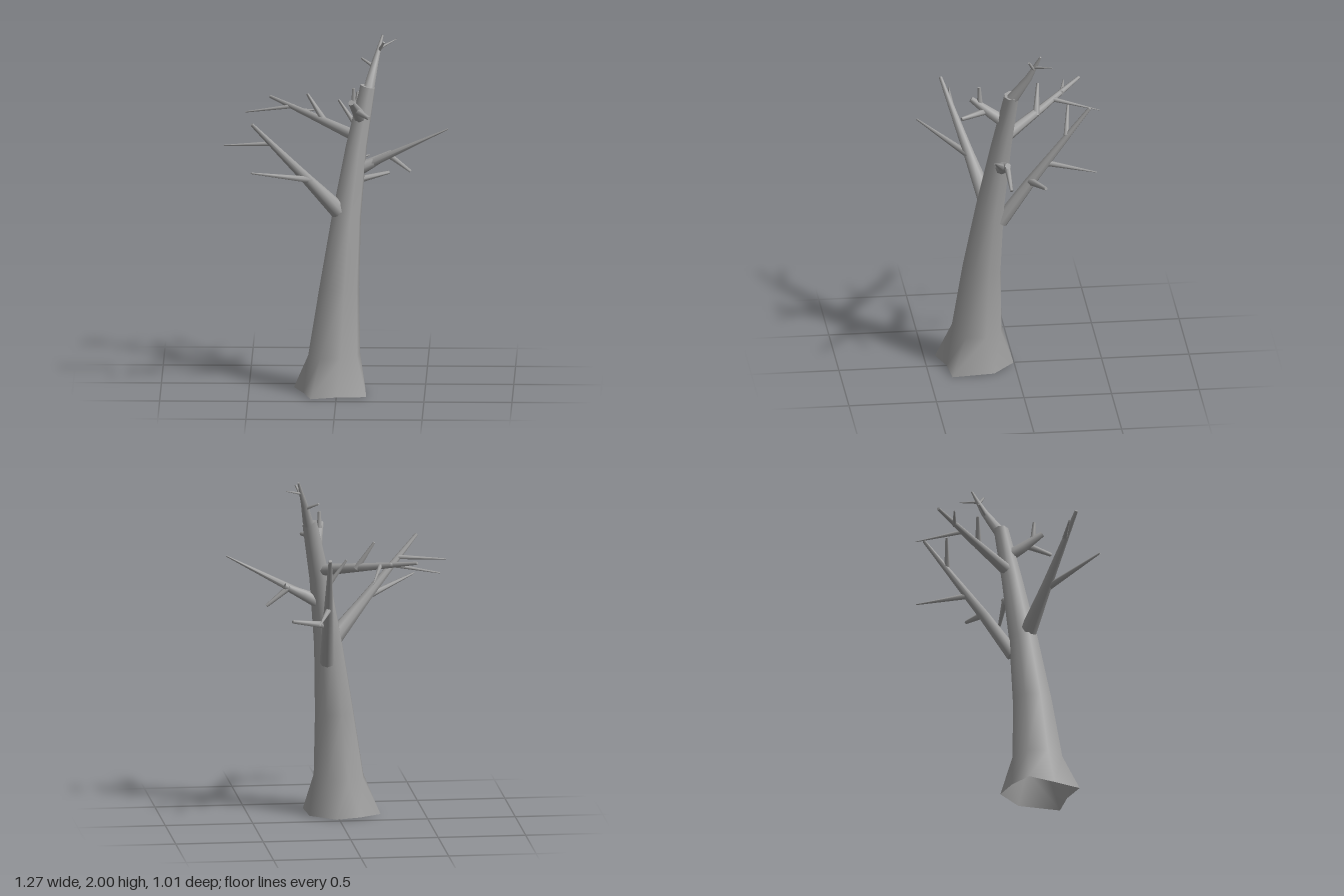
import * as THREE from 'three';

const V = (x, y, z) => new THREE.Vector3(x, y, z);

// Skin a list of rings (equal point counts); caps get their own vertices so rims stay sharp.
function loft(rings, capStart, capEnd) {
  const n = rings[0].length, pos = [], idx = [];
  rings.forEach(r => r.forEach(p => pos.push(p.x, p.y, p.z)));
  for (let i = 0; i < rings.length - 1; i++) {
    for (let j = 0; j < n; j++) {
      const a = i * n + j, b = i * n + (j + 1) % n;
      idx.push(a, a + n, b, b, a + n, b + n);
    }
  }
  const cap = (ring, flip) => {
    const s = pos.length / 3;
    ring.forEach(p => pos.push(p.x, p.y, p.z));
    for (let j = 1; j < n - 1; j++) {
      if (flip) idx.push(s, s + j, s + j + 1);
      else idx.push(s, s + j + 1, s + j);
    }
  };
  if (capStart) cap(rings[0], true);
  if (capEnd) cap(rings[rings.length - 1], false);
  const g = new THREE.BufferGeometry();
  g.setAttribute('position', new THREE.Float32BufferAttribute(pos, 3));
  g.setIndex(idx);
  g.computeVertexNormals();
  return g;
}

// Tapered limb through [x, y, z, radius] stations.
function limbGeometry(stations, sides) {
  const pts = stations.map(s => V(s[0], s[1], s[2]));
  const dir = pts[pts.length - 1].clone().sub(pts[0]).normalize();
  const ref = Math.abs(dir.y) > 0.9 ? V(1, 0, 0) : V(0, 1, 0);
  const rings = pts.map((p, i) => {
    const t = pts[Math.min(i + 1, pts.length - 1)].clone().sub(pts[Math.max(i - 1, 0)]).normalize();
    const u = ref.clone().cross(t).normalize(), v = u.clone().cross(t);
    return Array.from({ length: sides }, (_, j) => {
      const a = (j / sides) * Math.PI * 2, r = stations[i][3];
      return p.clone().addScaledVector(u, r * Math.cos(a)).addScaledVector(v, r * Math.sin(a));
    });
  });
  return loft(rings, true, true);
}

export function createModel() {
  const tree = new THREE.Group();
  tree.name = 'bareTree';
  const bark = new THREE.MeshStandardMaterial({ color: 0xa0a0a0, side: THREE.DoubleSide });
  bark.name = 'greyBark';

  const add = (name, geometry, parent) => {
    const m = new THREE.Mesh(geometry, bark);
    m.name = name;
    parent.add(m);
  };

  // Leaning trunk: irregular flared foot, open underneath, then narrowing octagons
  const foot = [[0.17, 0.37], [0, 0.385], [-0.145, 0.435], [-0.19, 0.285],
    [-0.245, 0.13], [-0.12, 0.05], [0.02, 0.005], [0.16, 0.13]];
  const rings = [foot.map(([x, z], i) => V(x, i < 3 ? 0.003 : 0.01, z))];
  const stations = [
    [-0.015, 0.22, 0.212, 0.152], [0.013, 0.6, 0.187, 0.117], [0.052, 1.0, 0.143, 0.086],
    [0.108, 1.4, 0.085, 0.062], [0.172, 1.735, 0.033, 0.043]];
  stations.forEach(([cx, y, cz, r], k) => {
    rings.push(foot.map((_, i) => {
      const a = (30 + 45 * i) * Math.PI / 180;
      const tilt = k === 4 ? -0.25 * r * Math.cos(a) : 0;
      return V(cx + r * Math.cos(a), y + tilt, cz + r * Math.sin(a));
    }));
  });
  add('trunk', loft(rings, false, true), tree);

  // Each bough: a main limb followed by its twigs
  const boughs = {
    leader: [
      [[0.175, 1.71, 0.035, 0.034], [0.213, 1.86, -0.06, 0.02], [0.253, 2.0, -0.122, 0.006]],
      [[0.21, 1.83, -0.045, 0.011], [0.135, 1.87, -0.1, 0.006]],
      [[0.235, 1.93, -0.09, 0.009], [0.33, 1.965, -0.18, 0.002]],
      [[0.235, 1.92, -0.085, 0.01], [0.262, 1.972, -0.055, 0.006]]],
    frontRightBough: [
      [[0.01, 1.04, 0.165, 0.05], [-0.17, 1.24, 0.24, 0.031], [-0.48, 1.58, 0.365, 0.01]],
      [[-0.15, 1.235, 0.24, 0.021], [-0.48, 1.325, 0.5, 0.005]],
      [[-0.37, 1.46, 0.315, 0.014], [-0.64, 1.445, 0.3, 0.003]]],
    backBough: [
      [[0.065, 0.91, 0.085, 0.042], [0.08, 1.15, -0.08, 0.032], [0.107, 1.605, -0.42, 0.01]],
      [[0.085, 1.27, -0.17, 0.018], [0.172, 1.235, -0.455, 0.003]],
      [[0.08, 1.16, -0.08, 0.023], [0.29, 1.2, -0.15, 0.01]],
      [[0.1, 1.44, -0.288, 0.016], [0, 1.585, -0.307, 0.007]]],
    backRightBough: [
      [[0.11, 1.45, 0.065, 0.035], [-0.14, 1.515, -0.18, 0.022], [-0.39, 1.58, -0.415, 0.009]],
      [[-0.25, 1.55, -0.3, 0.013], [-0.53, 1.505, -0.343, 0.004]],
      [[-0.2, 1.535, -0.245, 0.013], [-0.13, 1.485, -0.505, 0.002]],
      [[-0.075, 1.495, -0.135, 0.02], [-0.175, 1.65, -0.155, 0.008]]],
    leftBough: [
      [[0.11, 1.26, 0.09, 0.04], [0.2, 1.305, 0.085, 0.03], [0.31, 1.36, 0.07, 0.017]],
      [[0.18, 1.295, 0.085, 0.027], [0.63, 1.52, 0.18, 0.004]],
      [[0.28, 1.355, 0.073, 0.019], [0.415, 1.25, 0.06, 0.009]]],
    upperFrontBough: [
      [[0.135, 1.55, 0.06, 0.038], [0.115, 1.61, 0.15, 0.031], [0.082, 1.685, 0.255, 0.017]],
      [[0.11, 1.62, 0.17, 0.02], [0.185, 1.608, 0.32, 0.011]],
      [[0.095, 1.65, 0.205, 0.017], [0.095, 1.76, 0.21, 0.009]]]
  };
  for (const [name, limbs] of Object.entries(boughs)) {
    const group = new THREE.Group();
    group.name = name;
    limbs.forEach((s, i) => add(i ? 'twig' + i : 'mainLimb', limbGeometry(s, i ? 6 : 8), group));
    tree.add(group);
  }
  return tree;
}
